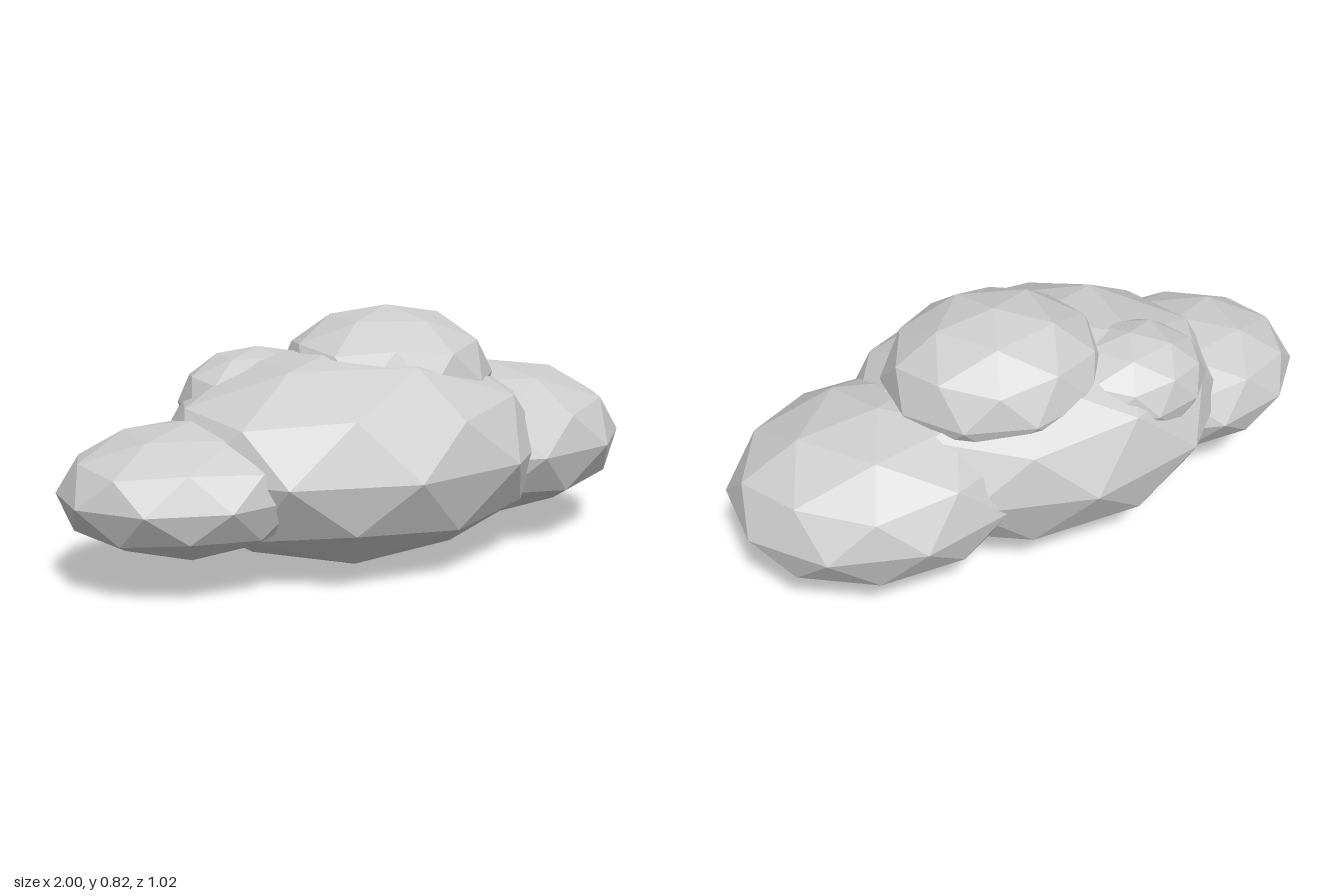
import * as THREE from 'three';

// Faceted puff: 80-sided ball standing on a vertex, stretched to its radii
function puff(name, material, [x, y, z], [rx, ry, rz]) {
  const geometry = new THREE.IcosahedronGeometry(1, 1);
  geometry.rotateZ(-Math.atan(2 / (1 + Math.sqrt(5))));
  geometry.scale(rx, ry, rz);
  geometry.computeVertexNormals();
  const mesh = new THREE.Mesh(geometry, material);
  mesh.name = name;
  mesh.position.set(x, y, z);
  return mesh;
}

export function createModel() {
  const cloud = new THREE.Group();
  cloud.name = 'cloud';
  const grey = new THREE.MeshStandardMaterial({ color: 0xcccccc, flatShading: true });
  grey.name = 'cloud grey';

  // Large body with overlapping puffs at its sides and on top
  const puffs = [
    ['body', [-0.03, 0.36, 0], [0.67, 0.358, 0.51]],
    ['leftPuff', [0.53, 0.336, -0.102], [0.494, 0.264, 0.409]],
    ['rightPuff', [-0.597, 0.31, 0.05], [0.424, 0.21, 0.356]],
    ['topPuff', [0.12, 0.59, -0.052], [0.366, 0.232, 0.33]],
    ['smallBackPuff', [-0.287, 0.518, -0.178], [0.265, 0.176, 0.228]],
  ];
  for (const [name, center, radii] of puffs) cloud.add(puff(name, grey, center, radii));
  return cloud;
}
